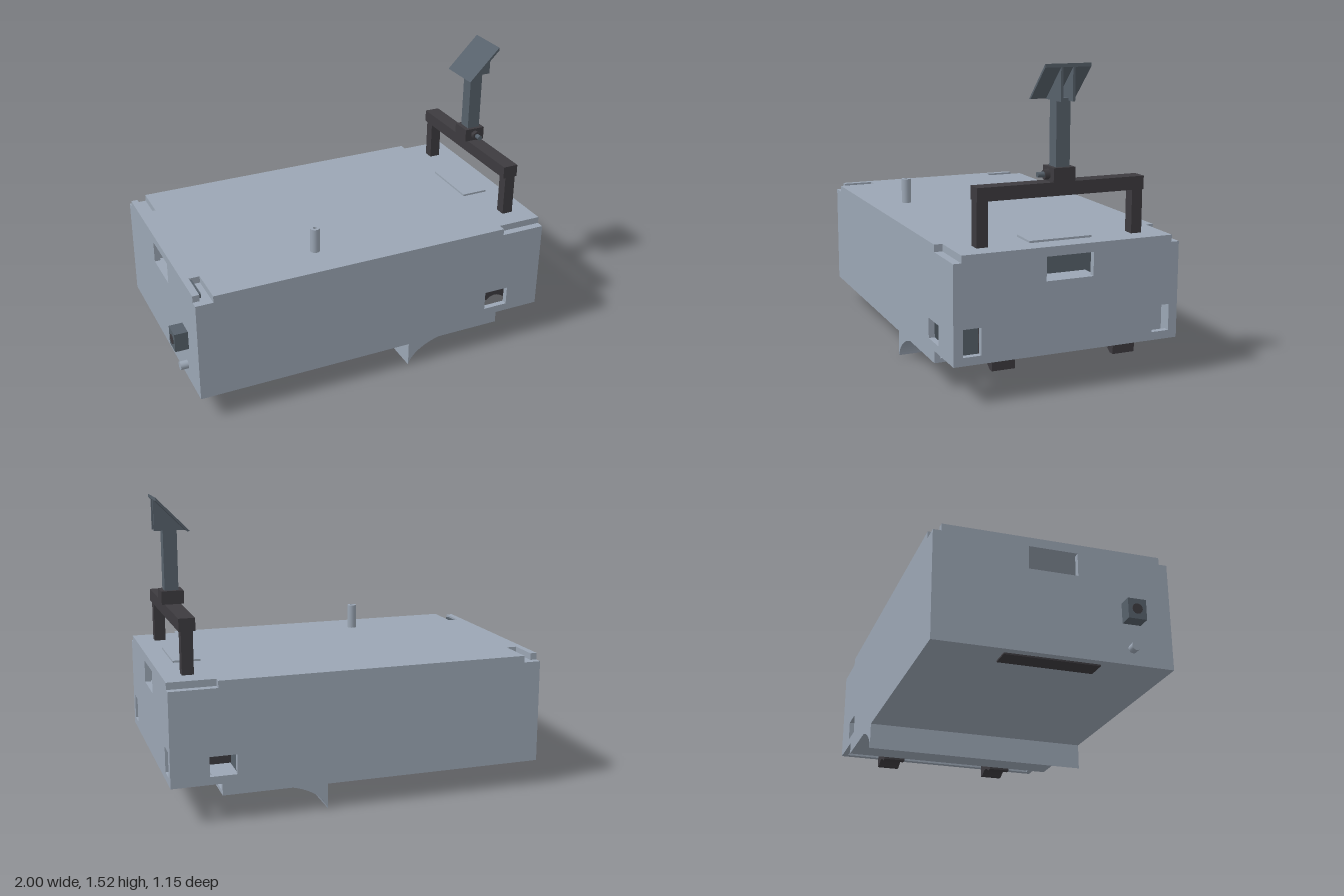
import * as THREE from 'three';

const mat = (name, color) => Object.assign(new THREE.MeshStandardMaterial({ color }), { name });

export function createModel() {
  const root = new THREE.Group();
  root.name = 'wheeledCase';
  const body = mat('body grey', 0x9ba6b4);
  const black = mat('soft black', 0x3d3b3f);
  const slate = mat('slate grey', 0x57616b);

  const add = (name, geo, m, parent = root) => {
    const mesh = new THREE.Mesh(geo, m);
    mesh.name = name;
    parent.add(mesh);
    return mesh;
  };
  // Box from minimum and maximum corners
  const box = (name, m, x0, x1, y0, y1, z0, z1) =>
    add(name, new THREE.BoxGeometry(x1 - x0, y1 - y0, z1 - z0)
      .translate((x0 + x1) / 2, (y0 + y1) / 2, (z0 + z1) / 2), m);
  const poly = (pts) => new THREE.Shape(pts.map(([x, y]) => new THREE.Vector2(x, y)));
  const rect = (a0, a1, b0, b1) => [[a0, b0], [a1, b0], [a1, b1], [a0, b1]];
  const extrude = (shape, depth, holes = []) => {
    holes.forEach((h) => shape.holes.push(new THREE.Path(h.map(([x, y]) => new THREE.Vector2(x, y)))));
    return new THREE.ExtrudeGeometry(shape, { depth, bevelEnabled: false, curveSegments: 12 });
  };

  const L = -0.93, R = 1, W = 0.575, T = 0.03, LID = 0.665;

  // Long side walls with the low step and a window at the right end
  const side = [[L, 0.13], [0.75, 0.13], [0.75, 0.19], [R, 0.19], [R, LID], [L, LID]];
  for (const [name, z] of [['frontWall', W - T], ['backWall', -W]]) {
    add(name, extrude(poly(side), T, [rect(0.675, 0.81, 0.23, 0.33)]).translate(0, 0, z), body);
  }

  // End walls: outline in z and y, turned to face along x
  const endWall = (name, x, y0, holes) =>
    add(name, extrude(poly(rect(-W + T, W - T, y0, LID)), T, holes).rotateY(-Math.PI / 2).translate(x, 0, 0), body);
  endWall('rightWall', R, 0.19, [
    rect(-0.12, 0.12, 0.54, 0.655),
    rect(0.44, 0.53, 0.23, 0.36),
    rect(-0.53, -0.44, 0.23, 0.36),
  ]);
  endWall('leftWall', L + T, 0.13, [rect(-0.12, 0.12, 0.54, 0.655)]);

  // Lid with stepped corner cut-outs, mirrored front to back
  const half = [[R, 0.535], [0.76, 0.535], [0.76, W], [-0.84, W], [-0.84, 0.375],
    [-0.895, 0.375], [-0.895, 0.535], [L, 0.535]];
  const outline = [...half, ...half.map(([x, z]) => [x, -z]).reverse()];
  add('lid', extrude(poly(outline), 0.7 - LID).rotateX(-Math.PI / 2).translate(0, LID, 0), body);
  box('lidBase', body, L, R, LID - 0.01, LID, -W, W);
  box('slotInsert', slate, -0.895, -0.88, LID, 0.69, 0.375, 0.51);
  box('topPlate', body, 0.76, 0.9, 0.7, 0.71, -0.16, 0.16);

  // Floor, inner partitions and hand-hold shelves
  box('floor', body, L, 0.75, 0.13, 0.15, -W, W);
  box('floorVent', black, -0.89, -0.79, 0.122, 0.13, -0.23, 0.23);
  box('divider', slate, 0.6, 0.62, 0.15, 0.59, -W + T, W - T);
  box('innerRail', slate, 0.6, 0.62, 0.6, 0.615, -W + T, W - T);
  box('rightShelf', body, 0.88, R - T, 0.52, 0.54, -0.14, 0.14);
  box('leftShelf', body, L + T, -0.81, 0.52, 0.54, -0.14, 0.14);
  box('socketBack', body, 0.9, 0.91, 0.2, 0.38, -W + T, -0.42);
  box('socketBack', slate, 0.9, 0.91, 0.2, 0.38, 0.42, 0.51);

  // Curved blade across the underside
  const blade = new THREE.Shape();
  blade.moveTo(0.22, 0.13);
  blade.lineTo(0.22, 0);
  blade.bezierCurveTo(0.235, 0.06, 0.31, 0.11, 0.4, 0.13);
  add('blade', extrude(blade, 2 * W).translate(0, 0, -W), body);

  // Roller clips with arched undersides and their carrier
  const clip = new THREE.Shape();
  clip.moveTo(0.785, 0.13);
  clip.lineTo(0.82, 0.13);
  clip.quadraticCurveTo(0.872, 0.175, 0.925, 0.13);
  clip.lineTo(0.955, 0.13);
  clip.lineTo(0.955, 0.24);
  clip.lineTo(0.785, 0.24);
  for (const s of [-1, 1]) {
    add('rollerClip', extrude(clip, 0.115).translate(0, 0, s * 0.3125 - 0.0575), black);
    box('clipBlock', black, 0.66, 0.955, 0.22, 0.35, s * 0.3125 - 0.0575, s * 0.3125 + 0.0575);
    box('carrierBlock', black, 0.79, 0.95, 0.2, 0.25, s * 0.12 - 0.05, s * 0.12 + 0.05);
  }
  box('clipCarrier', black, 0.79, 0.95, 0.24, 0.26, -0.42, 0.42);

  // Left end connector and button
  box('connector', slate, -1, L, 0.33, 0.43, 0.33, 0.42);
  add('connectorSocket', new THREE.CylinderGeometry(0.025, 0.025, 0.006, 20)
    .rotateZ(Math.PI / 2).translate(-1, 0.38, 0.375), black);
  add('button', new THREE.CylinderGeometry(0.022, 0.022, 0.04, 20)
    .rotateZ(Math.PI / 2).translate(-0.95, 0.21, 0.375), body);

  // Hollow peg on the lid
  const peg = [[0.01, 0.7], [0.025, 0.7], [0.025, 0.83], [0.01, 0.83], [0.01, 0.7]];
  const pegMesh = [];
  for (let i = 0; i < peg.length - 1; i++) {
    pegMesh.push(add('peg', new THREE.LatheGeometry(
      [peg[i], peg[i + 1]].map(([r, y]) => new THREE.Vector2(r, y)), 20), body));
  }
  pegMesh.forEach((m) => m.position.set(-0.23, 0, 0.375));

  // Handle frame
  for (const s of [-1, 1]) {
    box('handlePost', black, 0.845, 0.903, 0.7, 0.92, s * 0.397 - 0.0275, s * 0.397 + 0.0275);
  }
  box('handleBar', black, 0.832, 0.913, 0.913, 0.977, -0.425, 0.425);

  // Mast bracket with clamp screw
  box('mastBracket', black, 0.815, 0.928, 0.977, 1.045, -0.055, 0.055);
  add('clampNut', new THREE.CylinderGeometry(0.025, 0.025, 0.025, 6)
    .rotateX(Math.PI / 2).translate(0.872, 1.01, 0.067), black);
  add('clampScrew', new THREE.CylinderGeometry(0.013, 0.013, 0.035, 16)
    .rotateX(Math.PI / 2).translate(0.872, 1.01, 0.095), slate);

  // Mast and slanted head plate with triangular ribs
  box('mast', slate, 0.838, 0.908, 1.045, 1.36, -0.035, 0.035);
  const plate = poly([[0.785, 1.35], [0.8, 1.35], [0.952, 1.503], [0.952, 1.52]]);
  add('headPlate', extrude(plate, 0.23).translate(0, 0, -0.115), slate);
  const rib = poly([[0.795, 1.348], [0.952, 1.348], [0.952, 1.51]]);
  for (const s of [-1, 1]) {
    add('headRib', extrude(rib, 0.012).translate(0, 0, s * 0.03 - 0.006), slate);
  }
  return root;
}
